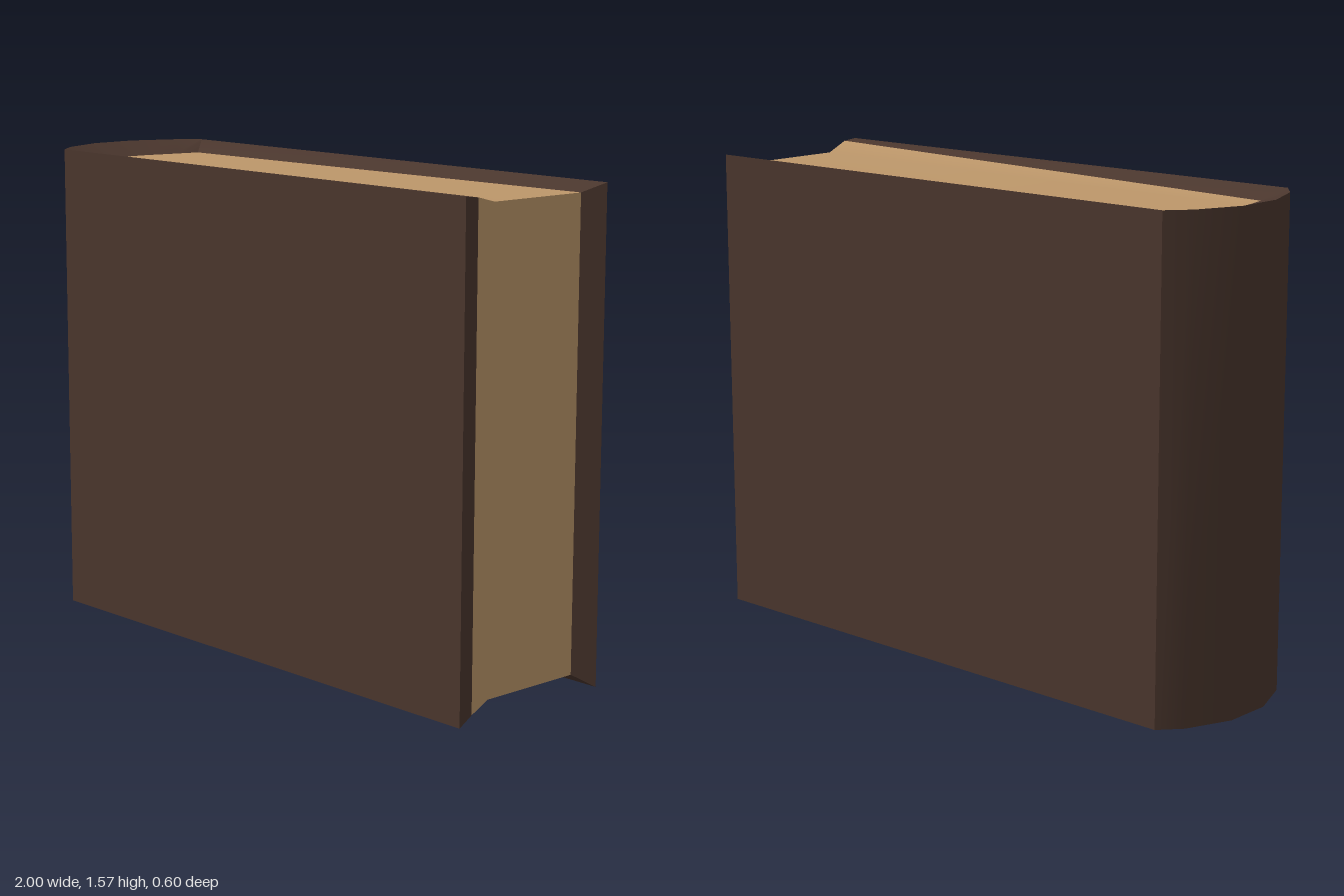
import * as THREE from 'three';
import { toCreasedNormals } from 'three/addons/utils/BufferGeometryUtils.js';

// Builds a mesh from convex polygons, each a list of [x, y, z] corners
function polyMesh(name, polygons, color) {
  const positions = [];
  for (const p of polygons) {
    for (let i = 1; i < p.length - 1; i++) positions.push(...p[0], ...p[i], ...p[i + 1]);
  }
  const geometry = new THREE.BufferGeometry();
  geometry.setAttribute('position', new THREE.Float32BufferAttribute(positions, 3));
  const mesh = new THREE.Mesh(
    toCreasedNormals(geometry, 0.6),
    new THREE.MeshStandardMaterial({ color })
  );
  mesh.name = name;
  return mesh;
}

export function createModel() {
  const book = new THREE.Group();
  book.name = 'book';

  // Outer outline of the cover [x, z]: back board, rounded spine, front board
  const outer = [
    [1, -0.3], [-0.88, -0.3], [-0.94, -0.23], [-1, -0.08],
    [-1, 0.08], [-0.94, 0.23], [-0.88, 0.3], [1, 0.3],
  ];
  // Inner outline, where the cover meets the pages [x, z, bottom, top]
  const inner = [
    [0.95, -0.24], [-0.83, -0.24], [-0.845, -0.16], [-0.87, -0.03],
    [-0.87, 0.03], [-0.845, 0.14], [-0.82, 0.245], [1, 0.25, 0.03, 1.555],
  ].map(([x, z, bottom = 0.04, top = 1.53]) => [x, z, bottom, top]);

  // Cover: a closed strip with rims sloping in to the pages
  const rings = outer.map(([x, z], k) => {
    const [ix, iz, bottom, top] = inner[k];
    const outerTop = 1.565 - 0.005 * x;
    return [[x, 0, z], [x, outerTop, z], [ix, top, iz], [ix, bottom, iz]];
  });
  const coverFaces = [rings[0], [...rings[rings.length - 1]].reverse()];
  for (let k = 0; k < rings.length - 1; k++) {
    for (let j = 0; j < 4; j++) {
      const n = (j + 1) % 4;
      coverFaces.push([rings[k][j], rings[k + 1][j], rings[k + 1][n], rings[k][n]]);
    }
  }
  book.add(polyMesh('cover', coverFaces, 0x4a362d));

  // Pages: block with a hollow fore edge that flares out to the front board
  const outline = [[0.95, 0.13, 0.04, 1.53], ...inner];
  const low = outline.map(([x, z, bottom]) => [x, bottom, z]);
  const high = outline.map(([x, z, , top]) => [x, top, z]);
  const pageFaces = [high, [low[0], ...low.slice(1).reverse()]];
  for (let k = 0; k < outline.length; k++) {
    const n = (k + 1) % outline.length;
    pageFaces.push([low[k], low[n], high[n], high[k]]);
  }
  book.add(polyMesh('pages', pageFaces, 0xbd976a));

  return book;
}
